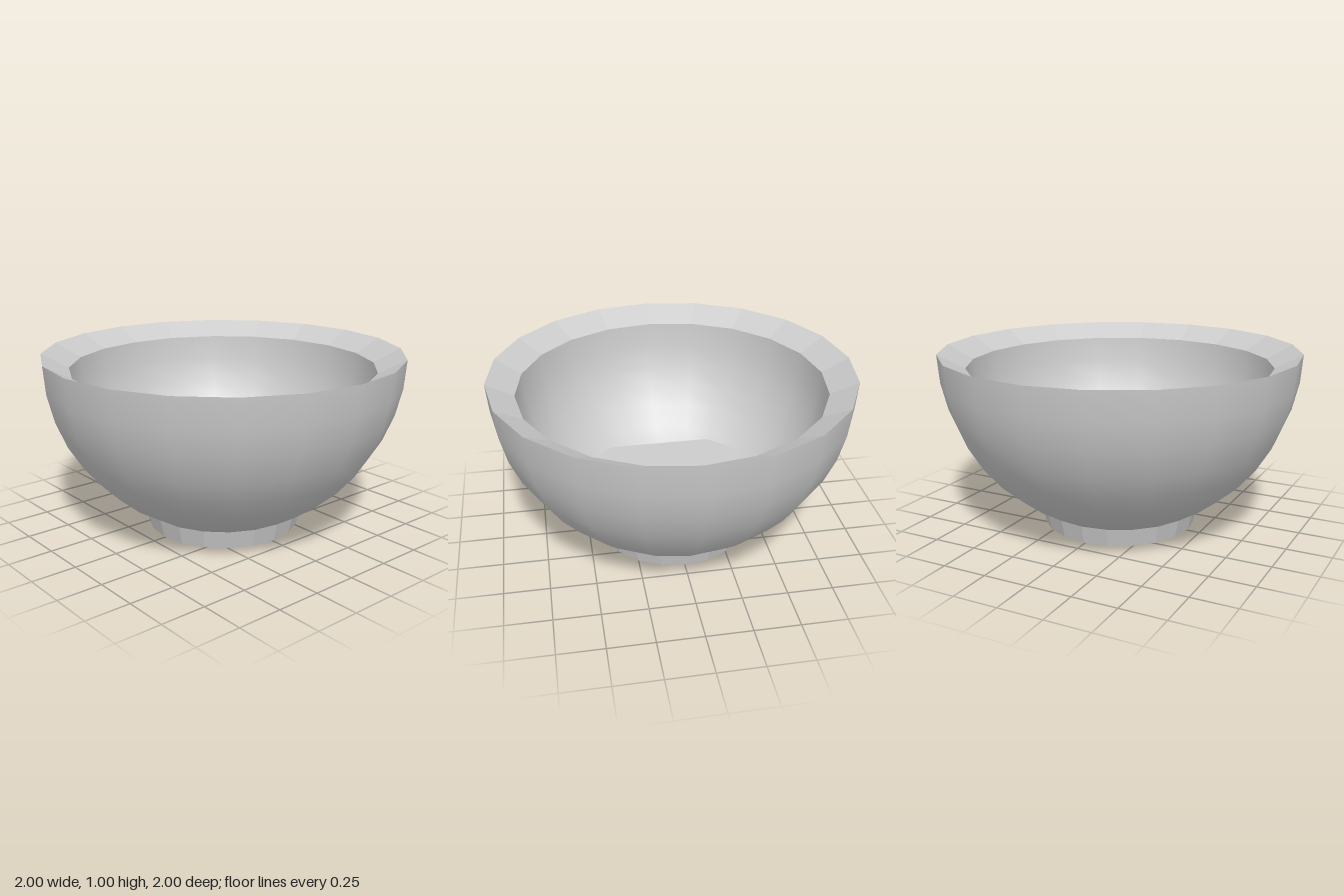
import * as THREE from 'three';

const SIDES = 20, RINGS = 10;

// Quarter-circle profile from the pole up to the rim, as [radius, height] points
function bowlProfile(radius, centreY) {
  return Array.from({ length: RINGS + 1 }, (_, i) => {
    const a = (i / RINGS) * Math.PI / 2;
    return new THREE.Vector2(i === 0 ? 0 : radius * Math.sin(a), centreY - radius * Math.cos(a));
  });
}

export function createModel() {
  const group = new THREE.Group();
  const smooth = new THREE.MeshStandardMaterial({ color: 0xcccccc });
  const faceted = new THREE.MeshStandardMaterial({ color: 0xcccccc, flatShading: true });
  const add = (name, geometry, material) => {
    const mesh = new THREE.Mesh(geometry, material);
    mesh.name = name;
    group.add(mesh);
    return mesh;
  };

  const innerRadius = 0.85, innerY = 0.92;

  // Smooth outer and inner walls
  add('outerWall', new THREE.LatheGeometry(bowlProfile(1, 1), SIDES), smooth);
  add('innerWall', new THREE.LatheGeometry(bowlProfile(innerRadius, innerY).reverse(), SIDES), smooth);

  // Rim sloping down towards the inside
  add('rim', new THREE.LatheGeometry(
    [new THREE.Vector2(1, 1), new THREE.Vector2(innerRadius, innerY)], SIDES), faceted);

  // Tapered foot; the pole of the outer wall just reaches below it
  const footBottom = 0.006, footTop = 0.114;
  const foot = add('foot', new THREE.CylinderGeometry(0.455, 0.43, footTop - footBottom, SIDES), faceted);
  foot.position.y = (footTop + footBottom) / 2;

  // Flat square floor with corners trimmed by the inner wall
  const corner = [[0.46, 0.3], [0.445, 0.324], [0.324, 0.445], [0.3, 0.46]];
  const outline = [];
  for (let q = 0; q < 4; q++) {
    for (const [x, y] of corner) {
      outline.push(new THREE.Vector2(x, y).rotateAround(new THREE.Vector2(), q * Math.PI / 2));
    }
  }
  const floorGeometry = new THREE.ExtrudeGeometry(new THREE.Shape(outline), { depth: 0.075, bevelEnabled: false });
  floorGeometry.rotateX(-Math.PI / 2);
  add('floor', floorGeometry, faceted).position.y = 0.2;

  return group;
}
